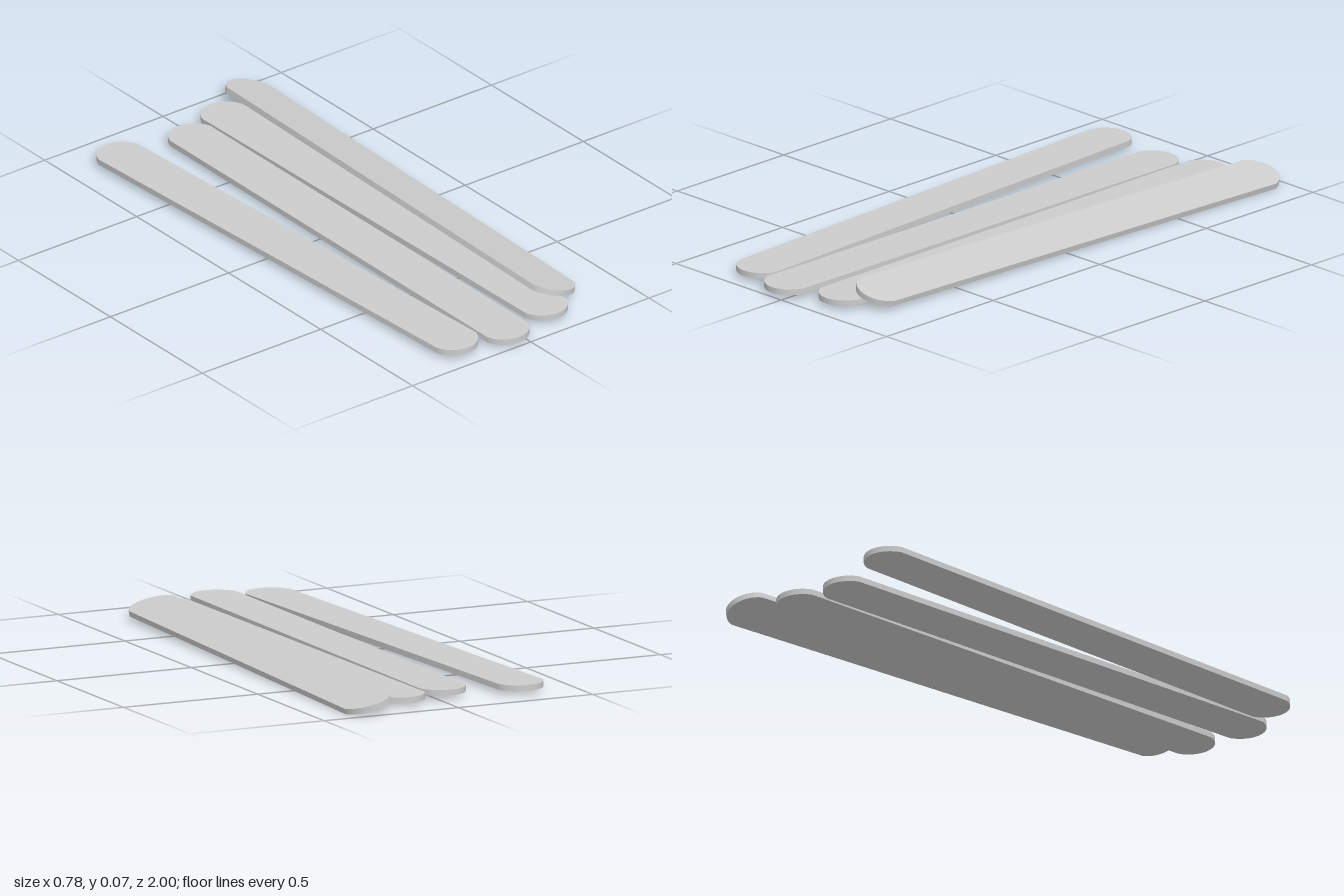
import * as THREE from 'three';
import { toCreasedNormals } from 'three/addons/utils/BufferGeometryUtils.js';

const HALF_WIDTH = 0.085, HALF_LENGTH = 0.932, CAP = 0.063, THICKNESS = 0.02;

// Flat stick along z: straight sides with a shallow arc at each end
function stickGeometry() {
  const radius = (HALF_WIDTH ** 2 + CAP ** 2) / (2 * CAP);
  const centre = HALF_LENGTH - radius;
  const start = Math.asin((radius - CAP) / radius);
  const shape = new THREE.Shape();
  shape.absarc(0, centre, radius, start, Math.PI - start, false);
  shape.absarc(0, -centre, radius, Math.PI + start, 2 * Math.PI - start, false);
  shape.closePath();
  const geometry = new THREE.ExtrudeGeometry(shape, {
    depth: THICKNESS, bevelEnabled: false, curveSegments: 20,
  });
  geometry.translate(0, 0, -THICKNESS / 2).rotateX(-Math.PI / 2);
  return toCreasedNormals(geometry, 0.35);
}

export function createModel() {
  const model = new THREE.Group();
  const material = new THREE.MeshStandardMaterial({ color: 0xcccccc });
  const geometry = stickGeometry();

  // Three sticks lie flat; the last leans on its neighbour
  const sticks = [
    { name: 'rightStick', at: [-0.267, 0.0245, 0.02], yaw: 0.047, roll: 0 },
    { name: 'middleRightStick', at: [-0.043, 0.0245, 0.066], yaw: -0.005, roll: 0 },
    { name: 'middleLeftStick', at: [0.149, 0.0245, 0.012], yaw: 0.01, roll: 0 },
    { name: 'leaningLeftStick', at: [0.279, 0.037, -0.069], yaw: -0.033, roll: -0.236 },
  ];
  for (const { name, at, yaw, roll } of sticks) {
    const stick = new THREE.Mesh(geometry, material);
    stick.name = name;
    stick.position.set(...at);
    stick.rotation.set(0, yaw, roll, 'ZYX');
    model.add(stick);
  }
  return model;
}
